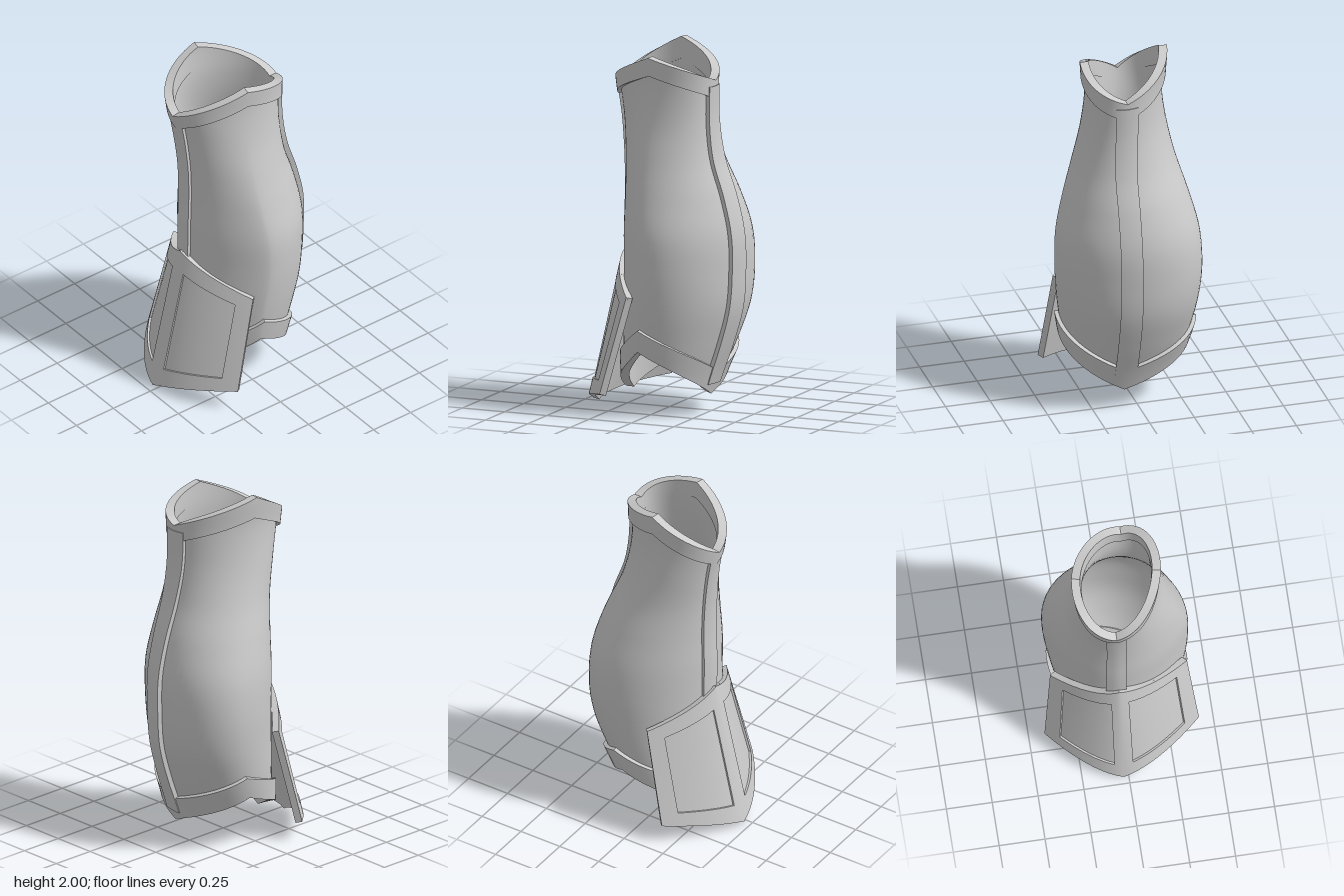
import * as THREE from 'three';

const lerp = THREE.MathUtils.lerp;
const material = new THREE.MeshStandardMaterial({ color: 0xcccccc });

// Arm cross-sections every 0.2 of height: left x, right x, front z, back z, middle z, skew
const SECTIONS = [
  [-0.26, 0.28, 0.25, -0.23, -0.01, 0.03],
  [-0.29, 0.31, 0.25, -0.285, -0.03, 0.05],
  [-0.33, 0.35, 0.25, -0.355, -0.06, 0.08],
  [-0.36, 0.38, 0.25, -0.41, -0.10, 0.10],
  [-0.375, 0.395, 0.245, -0.425, -0.12, 0.10],
  [-0.365, 0.39, 0.245, -0.42, -0.11, 0.09],
  [-0.32, 0.345, 0.24, -0.375, -0.07, 0.07],
  [-0.265, 0.29, 0.245, -0.31, -0.03, 0.04],
  [-0.23, 0.24, 0.265, -0.28, 0, 0.01],
  [-0.212, 0.215, 0.30, -0.28, 0.01, 0],
  [-0.225, 0.22, 0.32, -0.29, 0.02, 0],
];

// Smooth interpolation between the sections
function sectionAt(y) {
  const f = THREE.MathUtils.clamp(y / 0.2, 0, 9.999), i = Math.floor(f), t = f - i;
  const row = (k) => SECTIONS[THREE.MathUtils.clamp(k, 0, 10)];
  return row(i).map((p1, k) => {
    const p0 = row(i - 1)[k], p2 = row(i + 1)[k], p3 = row(i + 2)[k];
    return p1 + 0.5 * t * (p2 - p0 + t * (2 * p0 - 5 * p1 + 4 * p2 - p3 + t * (3 * (p1 - p2) + p3 - p0)));
  });
}

// Point on the arm surface; angle 0 is the front, rising towards +x
function armPoint(angle, y) {
  const [xl, xr, zf, zb, zm, skew] = sectionAt(y);
  const s = Math.sin(angle), c = Math.cos(angle);
  // The skew fades out at the front on the +x side, where the guard plate sits
  const fade = c > 0 && s > 0 ? (1 - c) ** 2 : 1;
  return new THREE.Vector3(
    (xl + xr) / 2 + ((xr - xl) / 2) * s - 0.055 * c + 0.01 * c * c,
    y,
    zm + (c > 0 ? zf - zm : zm - zb) * c + skew * s * fade,
  );
}

// Zigzag edges: dips at front and back, peaks at the sides
function zigzag(angle, front, back, left, right) {
  const s = Math.sin(angle), c = Math.cos(angle);
  const side = Math.asin(Math.min(1, Math.abs(s))) / (Math.PI / 2);
  return lerp(c > 0 ? front : back, s > 0 ? right : left, side);
}
const topEdge = (a) => zigzag(a, 1.765, 1.835, 2.0, 1.96);
const topBand = (a) => zigzag(a, 1.685, 1.735, 1.88, 1.86);
const bottomEdge = (a) => zigzag(a, 0.09, 0.12, 0.32, 0.37);
const bottomBand = (a) => zigzag(a, 0.23, 0.25, 0.45, 0.49);

// Solid slab following a surface between two offsets along its normal
function slab(name, surface, [u0, u1], [v0, v1], nu, nv, low, high, closed = false) {
  const positions = [], normals = [], E = 1e-3;
  const rows = [];
  for (let j = 0; j <= nv; j++) {
    rows.push([]);
    for (let i = 0; i <= nu; i++) {
      const u = lerp(u0, u1, i / nu), v = lerp(v0, v1, j / nv);
      const p = surface(u, v);
      const du = surface(u + E, v).sub(surface(u - E, v));
      const dv = surface(u, v + E).sub(surface(u, v - E));
      const n = du.cross(dv).normalize();
      rows[j].push({
        n, m: n.clone().negate(),
        out: p.clone().addScaledVector(n, high),
        inn: p.clone().addScaledVector(n, low),
      });
    }
  }
  const quad = (pts, ns) => {
    const flat = new THREE.Vector3().subVectors(pts[2], pts[0])
      .cross(new THREE.Vector3().subVectors(pts[3], pts[1])).normalize();
    for (const k of [0, 1, 2, 0, 2, 3]) {
      positions.push(...pts[k].toArray());
      normals.push(...(ns ? ns[k] : flat).toArray());
    }
  };
  // Outer and inner faces
  for (let j = 0; j < nv; j++) {
    for (let i = 0; i < nu; i++) {
      const q = [rows[j][i], rows[j][i + 1], rows[j + 1][i + 1], rows[j + 1][i]];
      quad(q.map((k) => k.out), q.map((k) => k.n));
      q.reverse();
      quad(q.map((k) => k.inn), q.map((k) => k.m));
    }
  }
  // Edge walls
  for (let i = 0; i < nu; i++) {
    const a = rows[0][i], b = rows[0][i + 1], c = rows[nv][i], d = rows[nv][i + 1];
    quad([a.inn, b.inn, b.out, a.out]);
    quad([c.out, d.out, d.inn, c.inn]);
  }
  for (let j = 0; j < nv && !closed; j++) {
    const a = rows[j][0], b = rows[j + 1][0], c = rows[j][nu], d = rows[j + 1][nu];
    quad([a.inn, a.out, b.out, b.inn]);
    quad([c.out, c.inn, d.inn, d.out]);
  }
  const geometry = new THREE.BufferGeometry();
  geometry.setAttribute('position', new THREE.Float32BufferAttribute(positions, 3));
  geometry.setAttribute('normal', new THREE.Float32BufferAttribute(normals, 3));
  const mesh = new THREE.Mesh(geometry, material);
  mesh.name = name;
  return mesh;
}

// Flared guard plate: u runs across, v runs up
function platePoint(u, v) {
  const w = Math.abs(u), left = u > 0;
  const y = lerp(0.01 + (left ? 0.115 : 0.1) * Math.pow(w, 0.75), 0.84 - 0.18 * w, v);
  const x = -0.025 + u * (left ? lerp(0.435, 0.39, v) : lerp(0.385, 0.335, v));
  const drop = left ? lerp(0.235, 0.19, v) : lerp(0.27, 0.215, v);
  return new THREE.Vector3(x, y, lerp(0.452, 0.27, v) - drop * Math.pow(w, 1.6));
}

export function createModel() {
  const model = new THREE.Group();
  model.name = 'armGuard';
  const ring = [0, 2 * Math.PI];

  // Main sleeve
  const between = (lo, hi) => (a, v) => armPoint(a, lerp(lo(a), hi(a), v));
  model.add(slab('sleeve', between((a) => bottomEdge(a) + 0.02, (a) => topEdge(a) - 0.02),
    ring, [0, 1], 64, 36, -0.02, 0, true));

  // Pointed rims
  model.add(slab('topRim', between(topBand, topEdge), ring, [0, 1], 64, 3, -0.025, 0.022, true));
  model.add(slab('bottomRim', between(bottomEdge, bottomBand), ring, [0, 1], 64, 3, -0.025, 0.022, true));

  // Raised strips down the front and back
  const strip = (name, centre, halfWidth, height) => {
    const surface = (u, v) => {
      const y = lerp(bottomEdge(centre) + 0.06, topEdge(centre) - 0.03, v);
      const [xl, xr] = sectionAt(y);
      return armPoint(centre + (u * halfWidth * 2) / (xr - xl), y);
    };
    model.add(slab(name, surface, [-1, 1], [0, 1], 6, 36, -0.005, height));
  };
  strip('frontStrip', 0, 0.05, 0.019);
  strip('backStrip', Math.PI, 0.055, 0.027);

  // Guard plate with a raised frame around two sunken panels
  const guard = new THREE.Group();
  guard.name = 'guardPlate';
  guard.add(slab('guardPanel', platePoint, [-1, 1], [0, 1], 32, 12, -0.025, 0));
  const frame = (name, us, vs, nu, nv) =>
    guard.add(slab(name, platePoint, us, vs, nu, nv, -0.002, 0.012));
  frame('frameCentre', [-0.12, 0.12], [0, 1], 8, 12);
  for (const [side, inner, outer] of [['Left', 0.12, 0.82], ['Right', -0.82, -0.12]]) {
    frame('frameSide' + side, inner > 0 ? [outer, 1] : [-1, inner], [0, 1], 4, 12);
    frame('frameTop' + side, [inner, outer], [0.87, 1], 12, 2);
    frame('frameBottom' + side, [inner, outer], [0, 0.13], 12, 2);
  }
  model.add(guard);
  return model;
}
